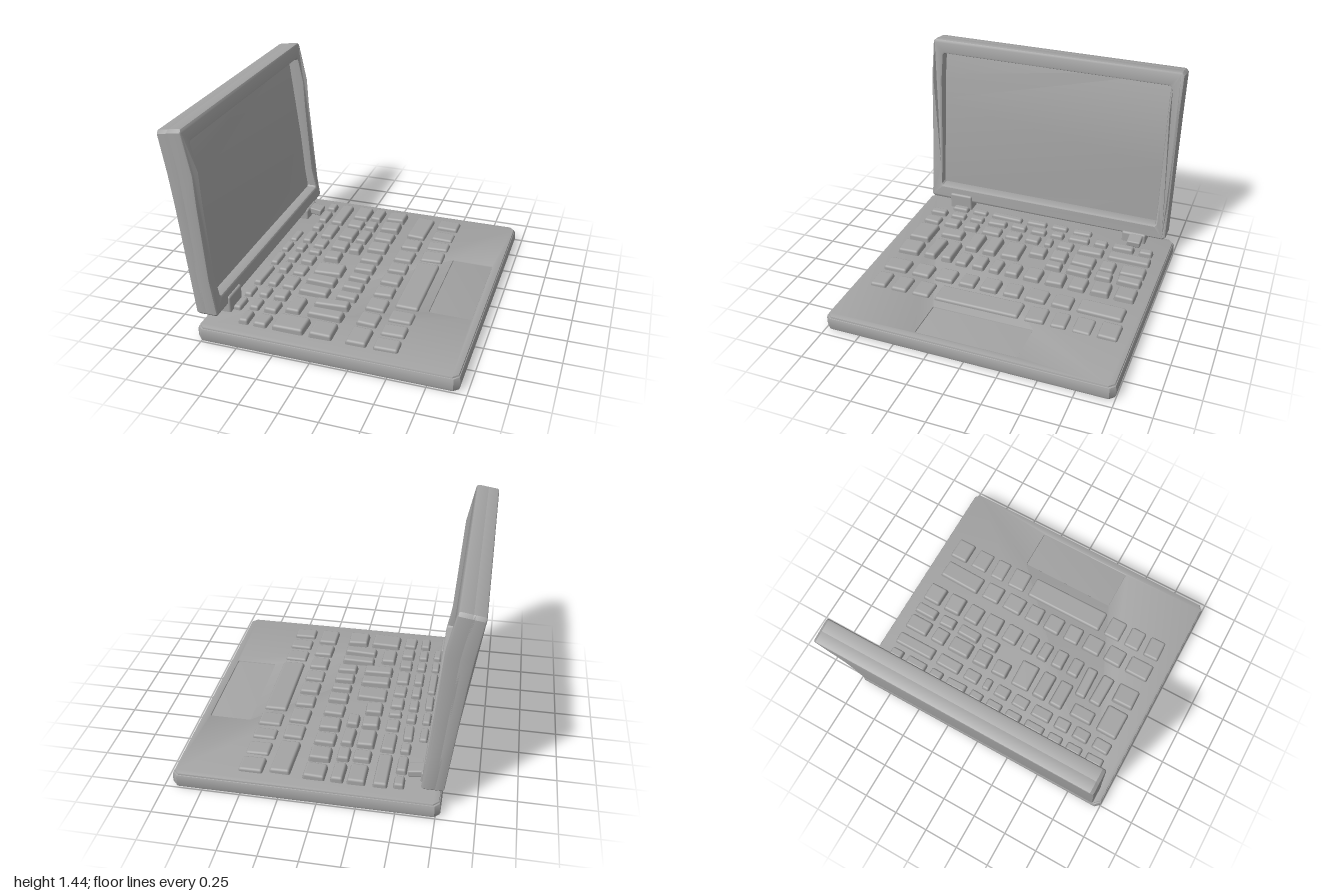
import * as THREE from 'three';
import { toCreasedNormals } from 'three/addons/utils/BufferGeometryUtils.js';
import { RoundedBoxGeometry } from 'three/addons/geometries/RoundedBoxGeometry.js';

const grey = new THREE.MeshStandardMaterial({ color: 0xa3a3a3 });
grey.name = 'grey plastic';

function add(parent, name, geometry, x = 0, y = 0, z = 0) {
  const mesh = new THREE.Mesh(geometry, grey);
  mesh.name = name;
  mesh.position.set(x, y, z);
  parent.add(mesh);
  return mesh;
}

// Rectangle outline with cut corners and extra points at given heights on its sides
function outline(u0, u1, v0, v1, cut, rows = []) {
  const up = rows.map(v => [u1, v]);
  const down = rows.map(v => [u0, v]).reverse();
  return [[u0 + cut, v0], [u1 - cut, v0], [u1, v0 + cut], ...up, [u1, v1 - cut],
    [u1 - cut, v1], [u0 + cut, v1], [u0, v1 - cut], ...down, [u0, v0 + cut]]
    .map(p => new THREE.Vector2(...p));
}

// Bevelled slab from w0 to w1; the outline is the outermost size
function slab(points, hole, w0, w1, thick, size) {
  const shape = new THREE.Shape(points);
  if (hole) shape.holes.push(new THREE.Path(hole));
  const g = new THREE.ExtrudeGeometry(shape, {
    depth: w1 - w0 - 2 * thick, bevelThickness: thick,
    bevelSize: size, bevelOffset: -size, bevelSegments: 2, bevelEnabled: thick > 0,
  });
  return g.translate(0, 0, w0 + thick);
}

// Piecewise linear lookup of [y, x] pairs
function lookup(pairs, y) {
  let i = 0;
  while (i < pairs.length - 2 && y > pairs[i + 1][0]) i++;
  const [y0, x0] = pairs[i], [y1, x1] = pairs[i + 1];
  return x0 + (x1 - x0) * (y - y0) / (y1 - y0);
}

// Leaning, slightly bowed lid: depth 0..1 runs from its back to its front
const lidBack = [[0.16, -0.79], [0.5, -0.83], [1.05, -0.897], [1.43, -0.96]];
const lidFront = [[0.16, -0.655], [0.22, -0.643], [0.43, -0.687], [0.95, -0.728], [1.15, -0.739], [1.43, -0.8]];
function lean(g) {
  const p = g.attributes.position;
  for (let i = 0; i < p.count; i++) {
    const u = p.getX(i), v = p.getY(i), t = p.getZ(i);
    const x = THREE.MathUtils.lerp(lookup(lidBack, v), lookup(lidFront, v), t);
    const tilt = (t - 0.5) * 0.025 * THREE.MathUtils.smoothstep(v, 1.1, 1.43);
    p.setXYZ(i, x, v + tilt, -u);
  }
  g.computeVertexNormals();
  return toCreasedNormals(g, 0.5);
}

function buildLid() {
  const lid = new THREE.Group();
  lid.name = 'lid';
  const rows = [0.43, 0.7, 0.95, 1.15];
  const outer = outline(-0.945, 0.945, 0.165, 1.43, 0.02, rows);
  const opening = outline(-0.86, 0.86, 0.28, 1.33, 0.01, rows);
  add(lid, 'lidShellAndScreen', lean(slab(outer, null, 0, 0.56, 0.08, 0.012)));
  add(lid, 'screenBezel', lean(slab(outer, opening, 0.3, 1, 0.1, 0.014)));
  return lid;
}

function buildBase() {
  const base = new THREE.Group();
  base.name = 'base';
  const body = slab(outline(-0.78, 0.95, -1, 1, 0.035), null, 0, 0.1, 0.025, 0.02);
  add(base, 'baseBody', toCreasedNormals(body.rotateX(-Math.PI / 2), 0.5));
  // Deck plate with a shallow recess for the touchpad
  const pad = outline(0.6, 0.885, -0.36, 0.35, 0.005);
  const deck = slab(outline(-0.77, 0.94, -0.99, 0.99, 0.035), pad, 0.06, 0.108, 0.008, 0.008);
  add(base, 'deck', toCreasedNormals(deck.rotateX(-Math.PI / 2), 0.5));
  return base;
}

// Key columns: x from, x to, top height, then the boundaries between keys along z
const columns = [
  [-0.645, -0.575, 0.135, [-0.42, -0.23, -0.06, 0.14, 0.43, 0.59, 0.76]],
  [-0.545, -0.465, 0.14, [-0.91, -0.77, -0.57, -0.43, -0.23, -0.09, 0.07, 0.23, 0.42, 0.57, 0.73, 0.9]],
  [-0.44, -0.335, 0.14, [-0.92, -0.57, -0.34, -0.18, -0.08, 0.07, 0.23, 0.42, 0.57, 0.73, 0.9]],
  [-0.3, -0.17, 0.145, [-0.92, -0.7, -0.55, -0.34, -0.18, -0.02]],
  [-0.16, -0.065, 0.145, [-0.92, -0.71, -0.55, -0.34, -0.18]],
  [-0.305, -0.085, 0.145, [-0.01, 0.17, 0.31, 0.45]],
  [-0.305, -0.19, 0.145, [0.48, 0.69]],
  [-0.31, -0.085, 0.145, [0.7, 0.9]],
  [-0.04, 0.115, 0.145, [-0.92, -0.74, -0.57, -0.41, -0.24, -0.08, 0.06, 0.18, 0.31, 0.44]],
  [-0.15, 0.1, 0.145, [0.44, 0.56, 0.69]],
  [-0.06, 0.105, 0.145, [0.7, 0.9]],
  [0.185, 0.335, 0.14, [-0.9, -0.54, -0.36, -0.17, -0.01, 0.16, 0.32, 0.5, 0.68, 0.9]],
  [0.365, 0.54, 0.13, [-0.92, -0.74, -0.57, -0.42, -0.24, 0.41, 0.58, 0.74, 0.9]],
];

function buildKeyboard() {
  const keyboard = new THREE.Group();
  keyboard.name = 'keyboard';
  let seed = 7;
  const random = () => (seed = (seed * 16807) % 2147483647) / 2147483647 - 0.5;
  for (const [x0, x1, top, stops] of columns) {
    for (let i = 0; i < stops.length - 1; i++) {
      const depth = stops[i + 1] - stops[i] - 0.028;
      const h = 0.06, w = x1 - x0;
      const g = new RoundedBoxGeometry(w, h, depth, 2, 0.016);
      // Keys narrow towards their tops
      const p = g.attributes.position;
      for (let k = 0; k < p.count; k++) {
        const inset = 0.012 * (p.getY(k) / h + 0.5);
        p.setX(k, p.getX(k) * (1 - 2 * inset / w));
        p.setZ(k, p.getZ(k) * (1 - 2 * inset / depth));
      }
      const key = add(keyboard, 'key', g, (x0 + x1) / 2, top - h / 2 + random() * 0.008, (stops[i] + stops[i + 1]) / 2);
      key.rotation.set(depth < 0.3 ? random() * 0.07 : 0, random() * 0.06, random() * 0.08);
    }
  }
  return keyboard;
}

function buildHinges() {
  const hinges = new THREE.Group();
  hinges.name = 'hinges';
  add(hinges, 'leftHinge', new RoundedBoxGeometry(0.11, 0.13, 0.18, 2, 0.015), -0.69, 0.16, 0.69);
  add(hinges, 'rightHinge', new RoundedBoxGeometry(0.13, 0.09, 0.18, 2, 0.015), -0.7, 0.14, -0.71);
  const tab = add(hinges, 'hingeTab', new RoundedBoxGeometry(0.11, 0.05, 0.1, 2, 0.01), -0.605, 0.15, -0.73);
  tab.rotation.z = -0.15;
  return hinges;
}

export function createModel() {
  const model = new THREE.Group();
  model.name = 'laptop';
  model.add(buildBase(), buildKeyboard(), buildHinges(), buildLid());
  return model;
}
